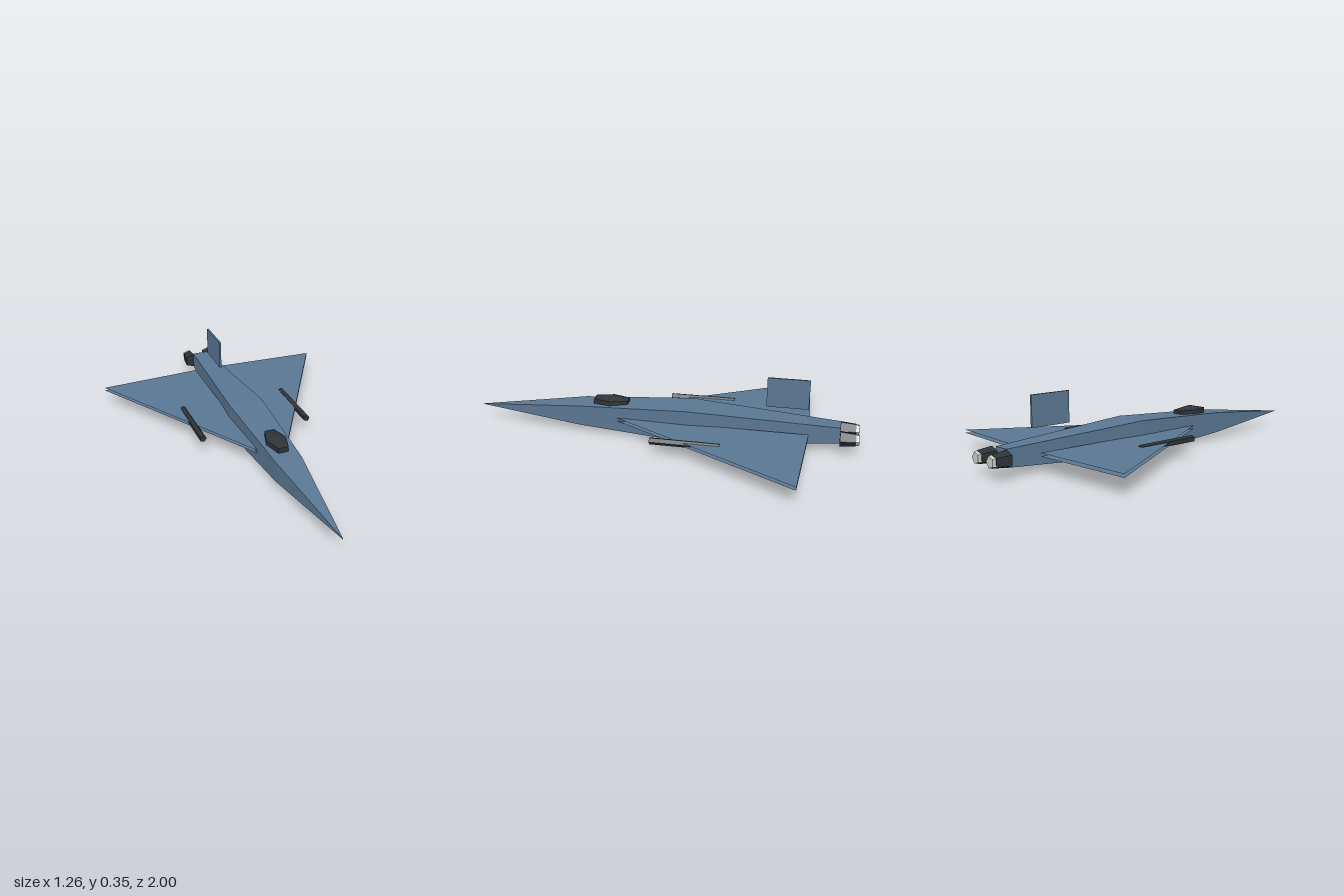
import * as THREE from 'three';

export function createModel() {
  const model = new THREE.Group();

  const material = (name, color) => {
    const m = new THREE.MeshStandardMaterial({ color, flatShading: true });
    m.name = name;
    return m;
  };
  const bluePaint = material('blue grey paint', 0x5a7792);
  bluePaint.side = THREE.DoubleSide; // the wing skins are open sheets
  const darkMetal = material('dark metal', 0x2e3338);
  const paleMetal = material('pale metal', 0xcbcbc6);

  const add = (name, geometry, mat, x = 0, y = 0, z = 0) => {
    const mesh = new THREE.Mesh(geometry, mat);
    mesh.name = name;
    mesh.position.set(x, y, z);
    model.add(mesh);
    return mesh;
  };

  // Five-sided rod along z, with a corner towards +x
  const rod = (frontRadius, backRadius, length) =>
    new THREE.CylinderGeometry(frontRadius, backRadius, length, 5, 1, false, Math.PI / 2)
      .rotateX(Math.PI / 2);

  // Fuselage: rectangular sections [z, half width, bottom, top] from nose to tail
  const sections = [
    [1.0, 0.001, 0.075, 0.077],
    [0.43, 0.068, 0.034, 0.141],
    [-0.14, 0.092, 0.0, 0.17],
    [-0.907, 0.043, 0.045, 0.13],
  ];
  const points = [];
  for (const [z, w, bottom, top] of sections) {
    points.push(w, bottom, z, w, top, z, -w, top, z, -w, bottom, z);
  }
  const faces = [];
  const quad = (a, b, c, d) => faces.push(a, b, c, a, c, d);
  for (let s = 0; s < sections.length - 1; s++) {
    for (let i = 0; i < 4; i++) {
      const j = (i + 1) % 4;
      quad(s * 4 + i, (s + 1) * 4 + i, (s + 1) * 4 + j, s * 4 + j);
    }
  }
  const last = (sections.length - 1) * 4;
  quad(0, 1, 2, 3);
  quad(last + 3, last + 2, last + 1, last);
  let body = new THREE.BufferGeometry();
  body.setAttribute('position', new THREE.Float32BufferAttribute(points, 3));
  body.setIndex(faces);
  body = body.toNonIndexed();
  body.computeVertexNormals();
  add('fuselage', body, bluePaint);

  // Canopy: low faceted dome
  add('canopy', new THREE.SphereGeometry(1, 6, 3).scale(0.061, 0.04, 0.12), darkMetal, 0, 0.152, 0.275);

  // Tail fin
  add('tailFin', new THREE.BoxGeometry(0.01, 0.154, 0.212), bluePaint, 0, 0.275, -0.637);

  for (const [side, s] of [['left', 1], ['right', -1]]) {
    // Delta wing: an upper and a lower skin
    const outline = new THREE.Shape([
      new THREE.Vector2(s * 0.08, 0.23),
      new THREE.Vector2(s * 0.08, -0.752),
      new THREE.Vector2(s * 0.632, -0.725),
    ]);
    for (const [skin, y] of [['Upper', 0.096], ['Lower', 0.08]]) {
      add(`${side}Wing${skin}Skin`, new THREE.ShapeGeometry(outline).rotateX(Math.PI / 2), bluePaint, 0, y, 0);
    }

    // Wing pod and the store hanging beneath the wing
    add(`${side}WingPod`, rod(0.018, 0.018, 0.345), darkMetal, s * 0.29, 0.088, -0.163);
    add(`${side}Missile`, rod(0.0165, 0.0165, 0.236), paleMetal, s * 0.212, 0.056, -0.331);

    // Engine nozzle with pale exhaust end
    const x = s * 0.06 + 0.007;
    add(`${side}Nozzle`, rod(0.042, 0.034, 0.078), darkMetal, x, 0.086, -0.944);
    add(`${side}Exhaust`, rod(0.032, 0.029, 0.018), paleMetal, x, 0.086, -0.991);
  }

  return model;
}
